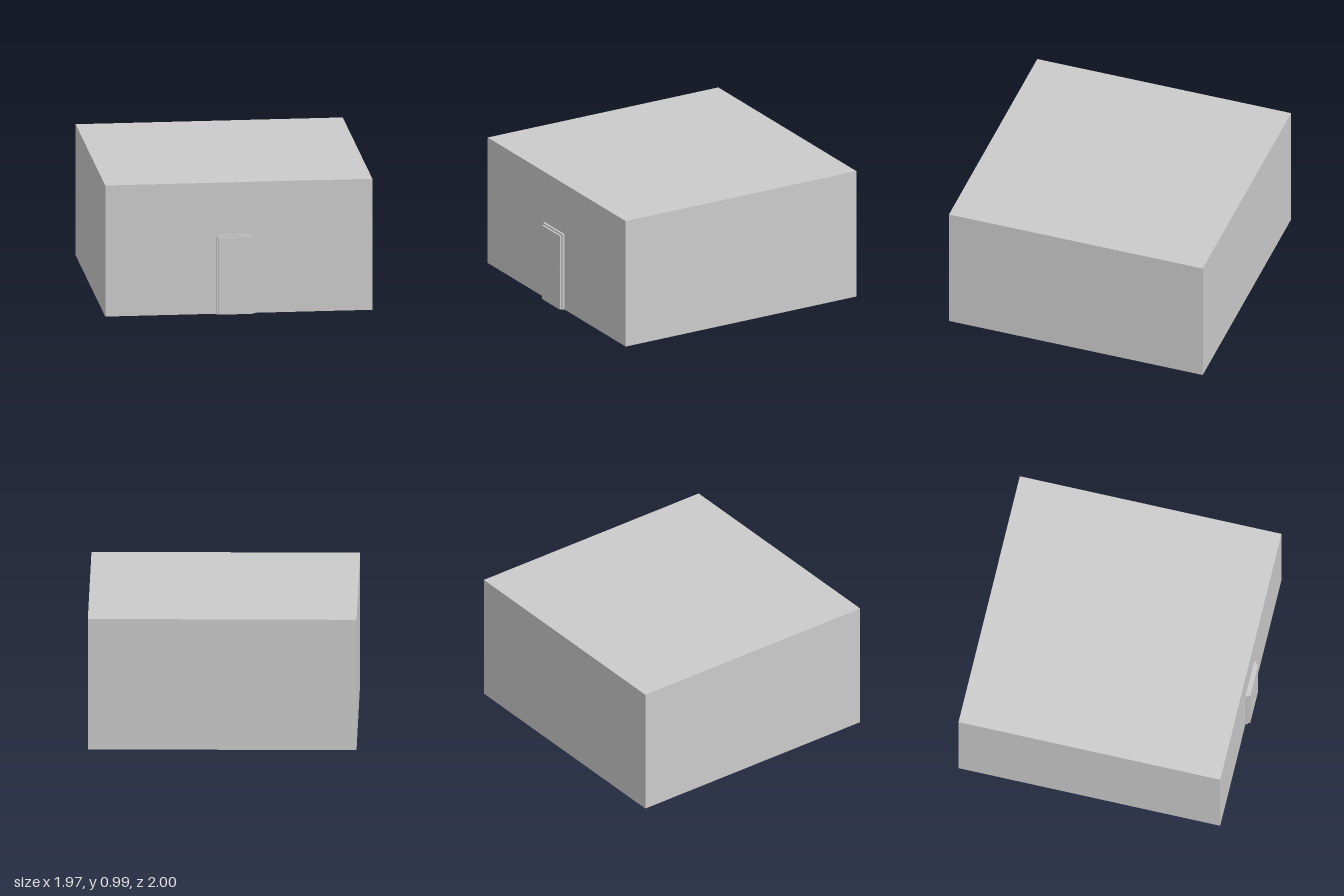
import * as THREE from 'three';

export function createModel() {
  const model = new THREE.Group();
  const material = new THREE.MeshStandardMaterial({ color: 0xcccccc });
  const wallZ = 0.966; // front wall plane

  function add(name, geometry, x, y, z) {
    const mesh = new THREE.Mesh(geometry, material);
    mesh.name = name;
    mesh.position.set(x, y, z);
    model.add(mesh);
    return mesh;
  }

  // Plain flat-roofed building
  const height = 0.985;
  add('building', new THREE.BoxGeometry(1.966, height, 1.966), 0, height / 2, wallZ - 0.983);

  // Door frame: two posts and a lintel standing out from the wall
  const left = -0.168, right = 0.11, top = 0.592, trim = 0.013;
  const frame = new THREE.Shape([
    [left, 0], [left + trim, 0], [left + trim, top - trim], [right - trim, top - trim],
    [right - trim, 0], [right, 0], [right, top], [left, top],
  ].map(([x, y]) => new THREE.Vector2(x, y)));
  add('doorFrame', new THREE.ExtrudeGeometry(frame, { depth: 0.017, bevelEnabled: false }), 0, 0, wallZ);

  // Door leaf, fitted in the frame and projecting past it
  const doorWidth = right - left - 2 * trim, doorHeight = top - trim;
  add('door', new THREE.BoxGeometry(doorWidth, doorHeight, 0.032),
    (left + right) / 2, doorHeight / 2, wallZ + 0.016);

  // Small round knob
  const knob = add('doorKnob', new THREE.CylinderGeometry(0.009, 0.009, 0.006, 16), 0.076, 0.29, 0.997);
  knob.rotation.x = Math.PI / 2;

  return model;
}
